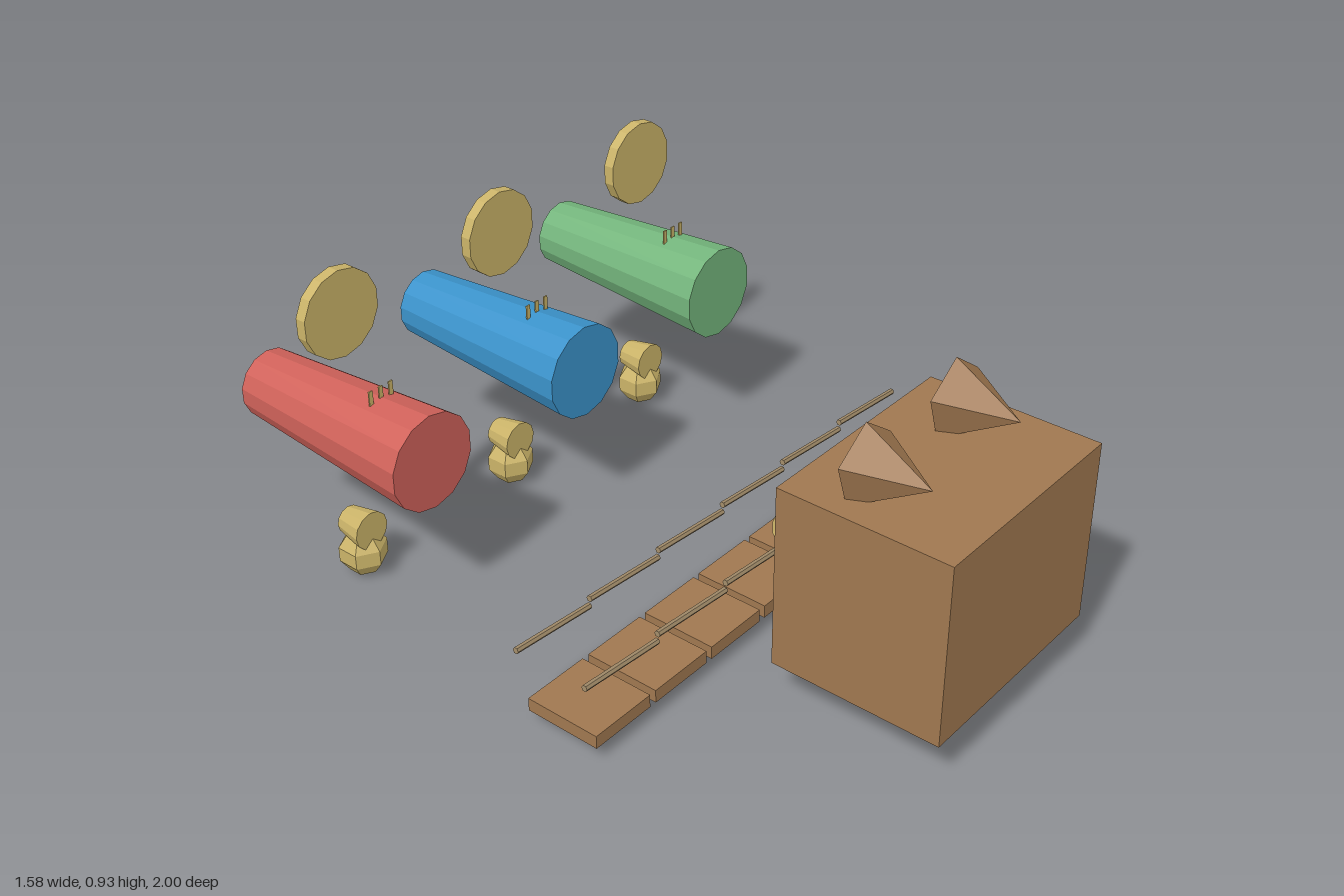
import * as THREE from 'three';

export function createModel() {
  const root = new THREE.Group();
  const mat = (name, color) => {
    const m = new THREE.MeshStandardMaterial({ color, flatShading: true });
    m.name = name;
    return m;
  };
  const wood = mat('wood brown', 0xa07850);
  const gold = mat('gold', 0xcbb469);
  const rope = mat('rope tan', 0xa08a68);
  const red = mat('red', 0xd0625a);
  const blue = mat('blue', 0x3b93cb);
  const green = mat('green', 0x74b57c);

  const add = (name, geo, material, x, y, z, parent = root) => {
    const m = new THREE.Mesh(geo, material);
    m.name = name;
    m.position.set(x, y, z);
    parent.add(m);
    return m;
  };
  // Cylinder lying along z, its first radius at the front
  const rod = (rFront, rBack, length, sides) =>
    new THREE.CylinderGeometry(rFront, rBack, length, sides).rotateX(Math.PI / 2);

  // Block with two five-sided spikes and a half-ring at the back
  add('block', new THREE.BoxGeometry(0.646, 0.52, 0.49), wood, 0, 0.4, 0.755);
  for (const s of [-1, 1]) {
    const spike = new THREE.ConeGeometry(0.11, 0.19, 5, 1, false, Math.PI).rotateX(Math.PI / 2);
    add('spike', spike, wood, s * 0.188, 0.725, 0.755);
  }
  const ring = new THREE.TorusGeometry(0.16, 0.033, 6, 12, Math.PI).rotateX(-Math.PI / 2);
  add('backRing', ring, gold, 0, 0.362, 0.502);

  // Row of planks
  for (let i = -3; i <= 3; i++) {
    add('plank', new THREE.BoxGeometry(0.198, 0.038, 0.222), wood, i * 0.219, 0.069, 0.207);
  }

  // Two side ropes in sloping lengths
  for (const z of [0.096, 0.316]) {
    for (let i = 0; i < 6; i++) {
      const r = add('ropeLength', new THREE.CylinderGeometry(0.009, 0.009, 0.264, 6), rope,
        (i - 2.5) * 0.263, 0.246, z);
      r.rotation.z = Math.PI / 2 - 0.08;
    }
  }

  // Three tapered barrels, each with pegs, a disc above and a figure below
  [red, blue, green].forEach((colour, i) => {
    const set = new THREE.Group();
    set.name = 'barrelSet';
    set.position.x = (i - 1) * 0.576;
    root.add(set);
    add('barrel', rod(0.137, 0.097, 0.62, 14), colour, 0, 0.487, -0.69, set);
    for (const k of [-1, 0, 1]) {
      add('peg', new THREE.BoxGeometry(0.013, 0.05, 0.004), gold, k * 0.034, 0.62, -0.553, set);
    }
    add('disc', rod(0.123, 0.123, 0.032, 14), gold, 0, 0.811, -0.688, set);
    const body = new THREE.SphereGeometry(0.07, 6, 5).rotateY(Math.PI / 2);
    add('body', body, gold, 0, 0.075, -0.688, set);
    add('head', rod(0.056, 0.04, 0.09, 12), gold, 0, 0.156, -0.69, set);
  });

  return root;
}
